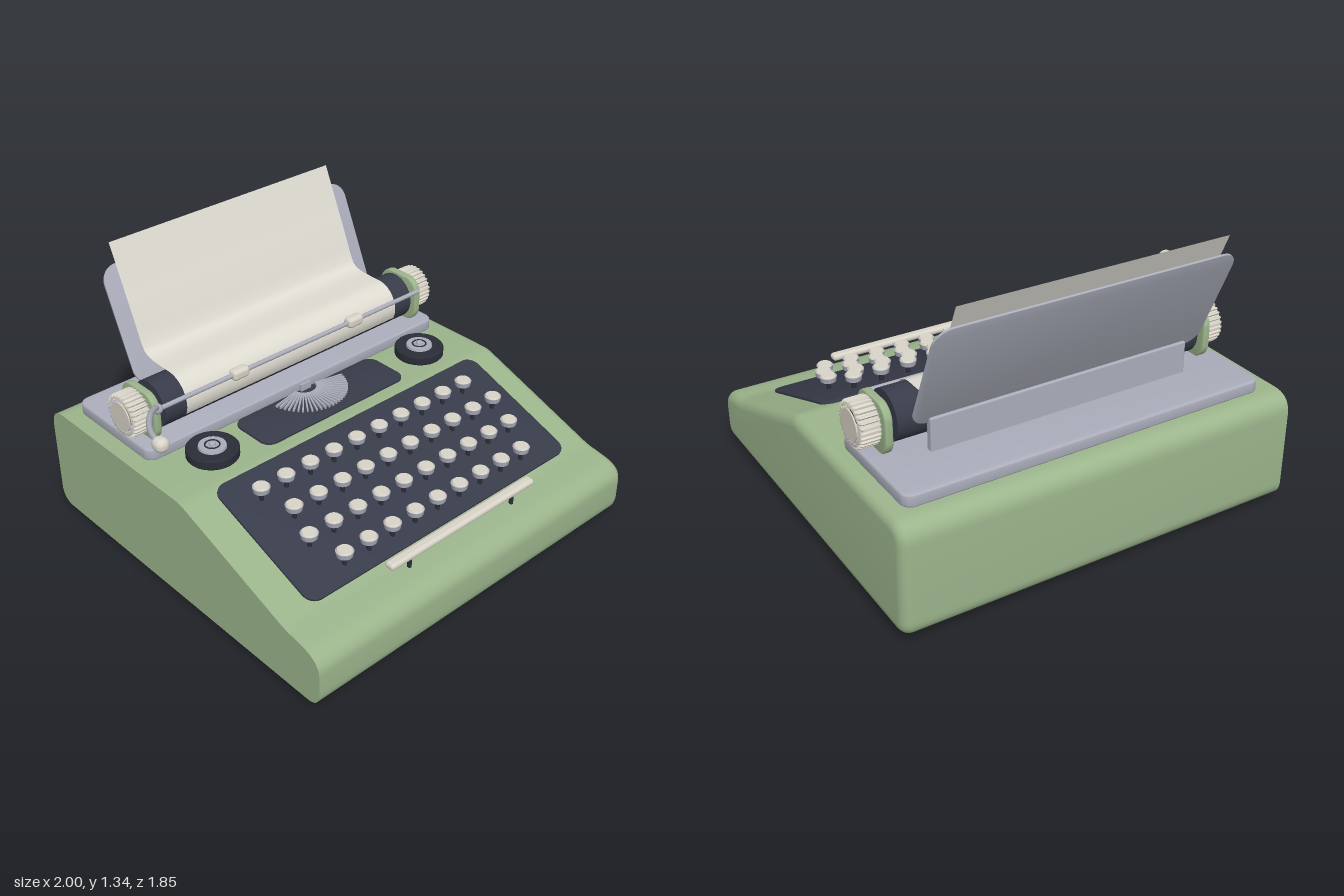
import * as THREE from 'three';
import { toCreasedNormals } from 'three/addons/utils/BufferGeometryUtils.js';
import { RoundedBoxGeometry } from 'three/addons/geometries/RoundedBoxGeometry.js';

const mat = (name, color, side = THREE.FrontSide) => {
  const m = new THREE.MeshStandardMaterial({ color, side });
  m.name = name;
  return m;
};

// Outline of a rounded rectangle centred on the origin
function roundedRect(w, h, r) {
  const s = new THREE.Shape();
  const x = w / 2 - r, y = h / 2 - r;
  s.absarc(x, y, r, 0, Math.PI / 2);
  s.absarc(-x, y, r, Math.PI / 2, Math.PI);
  s.absarc(-x, -y, r, Math.PI, Math.PI * 1.5);
  s.absarc(x, -y, r, Math.PI * 1.5, Math.PI * 2);
  s.closePath();
  return s;
}

// Extruded shape with a rounded rim, centred on its thickness
function slab(shape, thickness, bevel = 0.003) {
  const g = new THREE.ExtrudeGeometry(shape, {
    depth: thickness - 2 * bevel, bevelThickness: bevel, bevelSize: bevel,
    bevelOffset: -bevel, bevelSegments: 3, curveSegments: 10,
  });
  g.translate(0, 0, bevel - thickness / 2);
  return toCreasedNormals(g, 0.6);
}

export function createModel() {
  const green = mat('sage green', 0x9cb58c);
  const navy = mat('dark slate', 0x383c4a);
  const black = mat('charcoal', 0x2b2e38);
  const metal = mat('grey metal', 0xabaebb);
  const cream = mat('cream', 0xd9d4c8);
  const paperMat = mat('paper', 0xdedbd1, THREE.DoubleSide);

  const root = new THREE.Group();
  root.name = 'typewriter';
  const machine = new THREE.Group();
  machine.name = 'machine';
  machine.position.x = 0.037;
  root.add(machine);

  const add = (name, geo, material, x = 0, y = 0, z = 0, parent = machine) => {
    const m = new THREE.Mesh(geo, material);
    m.name = name;
    m.position.set(x, y, z);
    parent.add(m);
    return m;
  };
  const cyl = (r1, r2, h, n = 24) => new THREE.CylinderGeometry(r1, r2, h, n);
  const flat = (g) => g.rotateX(-Math.PI / 2);
  const alongX = (r, len, n = 24) => cyl(r, r, len, n).rotateZ(Math.PI / 2);

  // Body: side profile (horizontal = -z), extruded along x, softened on the +x end only
  const p = new THREE.Shape();
  p.moveTo(-0.85, 0.03);
  p.lineTo(0.845, 0.03);
  p.quadraticCurveTo(0.927, 0.03, 0.927, 0.11);
  p.lineTo(0.927, 0.46);
  p.quadraticCurveTo(0.927, 0.556, 0.83, 0.556);
  p.lineTo(-0.03, 0.556);
  p.quadraticCurveTo(-0.06, 0.556, -0.09, 0.545);
  p.lineTo(-0.69, 0.326);
  p.quadraticCurveTo(-0.73, 0.311, -0.77, 0.307);
  p.lineTo(-0.82, 0.298);
  p.quadraticCurveTo(-0.927, 0.28, -0.927, 0.2);
  p.lineTo(-0.927, 0.11);
  p.quadraticCurveTo(-0.927, 0.03, -0.85, 0.03);
  const body = new THREE.ExtrudeGeometry(p, {
    depth: 1.875, bevelThickness: 0.05, bevelSize: 0.05, bevelOffset: -0.05,
    bevelSegments: 6, curveSegments: 10,
  });
  const bp = body.attributes.position;
  for (let i = 0; i < bp.count; i++) bp.setZ(i, Math.max(0, bp.getZ(i)));
  body.rotateY(Math.PI / 2).translate(-0.962, 0, 0);
  add('body', toCreasedNormals(body, 0.6), green);

  // Feet
  for (const x of [-0.805, 0.805])
    for (const z of [-0.758, 0.758]) add('foot', cyl(0.057, 0.052, 0.04), black, x, 0.02, z);

  // Keyboard panel lying on the slope
  const slope = 0.365;
  const slopeY = (z) => 0.437 - (z - 0.385) * slope;
  const panel = add('keyboardPanel', flat(slab(roundedRect(1.605, 0.67, 0.06), 0.024)), navy, 0, 0.437, 0.385);
  panel.rotation.x = Math.atan(slope);

  // Keys: [z, top height, first x, count]
  const stemFor = (r, y0, y1, x, z, parent) =>
    add('keyStem', cyl(r, r, y1 - y0, 10), black, x, (y0 + y1) / 2, z, parent);
  const rows = [
    [0.217, 0.586, -0.651, 10], [0.353, 0.535, -0.587, 10],
    [0.49, 0.486, -0.624, 10], [0.63, 0.437, -0.554, 9],
  ];
  const rimGeo = cyl(0.04, 0.036, 0.024), capGeo = cyl(0.032, 0.037, 0.008);
  for (const [z, top, x0, count] of rows) {
    const row = new THREE.Group();
    row.name = 'keyRow';
    machine.add(row);
    for (let i = 0; i < count; i++) {
      const x = x0 + i * 0.1382;
      add('keyRim', rimGeo, metal, x, top - 0.02, z, row);
      add('keyCap', capGeo, cream, x, top - 0.004, z, row);
      stemFor(0.011, slopeY(z) - 0.01, top - 0.03, x, z, row);
    }
  }

  // Space bar
  add('spaceBar', new RoundedBoxGeometry(0.895, 0.034, 0.052, 4, 0.016), cream, 0, 0.373, 0.779);
  for (const x of [-0.322, 0.322]) stemFor(0.01, 0.29, 0.36, x, 0.779);

  // Type basket with its fan of type bars and the centre guide
  add('typeBasket', flat(slab(roundedRect(0.86, 0.25, 0.055), 0.024)), navy, 0, 0.556, -0.128);
  for (let i = 0; i < 27; i++) {
    const a = THREE.MathUtils.degToRad(-78 + i * 6);
    const bar = new THREE.BoxGeometry(0.008, 0.014, 0.15).translate(0, 0, 0.135);
    add('typeBar', bar, metal, 0, 0.573, -0.255).rotation.y = a;
  }
  add('typeGuide', new THREE.BoxGeometry(0.06, 0.045, 0.014), metal, 0, 0.58, -0.243);

  // Ribbon spools
  for (const x of [-0.643, 0.643]) {
    const profile = [[0, 0], [0.115, 0], [0.12, 0.006], [0.12, 0.042], [0.113, 0.05],
      [0.1, 0.05], [0.096, 0.046], [0, 0.046]].map(([r, y]) => new THREE.Vector2(r, y));
    add('ribbonSpool', toCreasedNormals(new THREE.LatheGeometry(profile, 40), 0.5), black, x, 0.556, -0.125);
    add('spoolHub', cyl(0.062, 0.065, 0.012, 32), metal, x, 0.607, -0.125);
    add('spoolRing', new THREE.TorusGeometry(0.033, 0.004, 8, 28).rotateX(Math.PI / 2), black, x, 0.613, -0.125);
    add('spoolNut', new THREE.SphereGeometry(0.017, 16, 10), metal, x, 0.613, -0.125);
  }

  // Carriage base and the rail behind the roller
  add('carriageBase', flat(slab(roundedRect(1.768, 0.56, 0.05), 0.06, 0.01)), metal, 0, 0.582, -0.54);
  add('backRail', new RoundedBoxGeometry(1.28, 0.16, 0.036, 2, 0.008), metal, 0, 0.682, -0.568);

  // Roller, axle, side plates and knobs
  const cy = 0.732, cz = -0.415;
  add('roller', alongX(0.113, 1.51, 48), navy, 0, cy, cz);
  add('axle', alongX(0.036, 1.7), metal, 0, cy, cz);
  const knobShape = new THREE.Shape(Array.from({ length: 168 }, (_, i) => {
    const a = (i / 168) * Math.PI * 2;
    const r = 0.101 + 0.005 * Math.tanh(2.5 * Math.cos(a * 28));
    return new THREE.Vector2(r * Math.cos(a), r * Math.sin(a));
  }));
  const knobGeo = slab(knobShape, 0.096, 0.014).rotateY(Math.PI / 2);
  const plateGeo = slab(roundedRect(0.245, 0.235, 0.075), 0.035, 0.006).rotateY(Math.PI / 2);
  for (const s of [-1, 1]) {
    add('sidePlate', plateGeo, green, s * 0.798, 0.722, -0.418);
    add('knob', knobGeo, cream, s * 0.862, 0.735, cz);
    add('knobCap', alongX(0.07, 0.006, 32), cream, s * 0.911, 0.735, cz);
  }

  // Paper bail with two small rollers
  add('bailBar', alongX(0.011, 1.58, 12), metal, 0, 0.786, -0.287);
  for (const x of [-0.352, 0.352]) {
    const g = new RoundedBoxGeometry(0.092, 0.052, 0.052, 4, 0.018);
    add('bailRoller', g, cream, x, 0.786, -0.287);
  }

  // Carriage return lever
  const leverPath = new THREE.CatmullRomCurve3([
    [-0.79, 0.775, -0.3], [-0.815, 0.805, -0.278], [-0.888, 0.838, -0.212],
    [-0.967, 0.853, -0.105], [-1.005, 0.858, 0],
  ].map((a) => new THREE.Vector3(...a)));
  add('returnLever', new THREE.TubeGeometry(leverPath, 30, 0.013, 12), metal);
  add('leverPivot', new THREE.SphereGeometry(0.024, 18, 12), metal, -0.8, 0.787, -0.29);
  add('leverGrip', new RoundedBoxGeometry(0.066, 0.066, 0.072, 5, 0.03), cream, -1.004, 0.859, 0.022);

  // Paper rest leaning back
  const rest = add('paperRest', slab(roundedRect(1.436, 0.557, 0.08), 0.01, 0.002), metal, 0, 0.99, -0.669);
  rest.rotation.x = -0.415;

  // Sheet of paper: a plane bent along a path round the roller and up the rest
  const path = [];
  for (let d = -25; d <= 90; d += 11.5) {
    const a = THREE.MathUtils.degToRad(d);
    path.push(new THREE.Vector3(0, cy + 0.119 * Math.sin(a), cz + 0.119 * Math.cos(a)));
  }
  for (const [z, y] of [[-0.49, 0.852], [-0.55, 0.856], [-0.592, 0.872], [-0.615, 0.905], [-0.66, 1.01], [-0.735, 1.18], [-0.805, 1.34]])
    path.push(new THREE.Vector3(0, y, z));
  const curve = new THREE.CatmullRomCurve3(path);
  const sheet = new THREE.PlaneGeometry(1.283, 1, 1, 70);
  const sp = sheet.attributes.position;
  for (let i = 0; i < sp.count; i++) {
    const q = curve.getPointAt(THREE.MathUtils.clamp(sp.getY(i) + 0.5, 0, 1));
    sp.setXYZ(i, sp.getX(i), q.y, q.z);
  }
  sheet.computeVertexNormals();
  add('paper', sheet, paperMat);

  return root;
}
